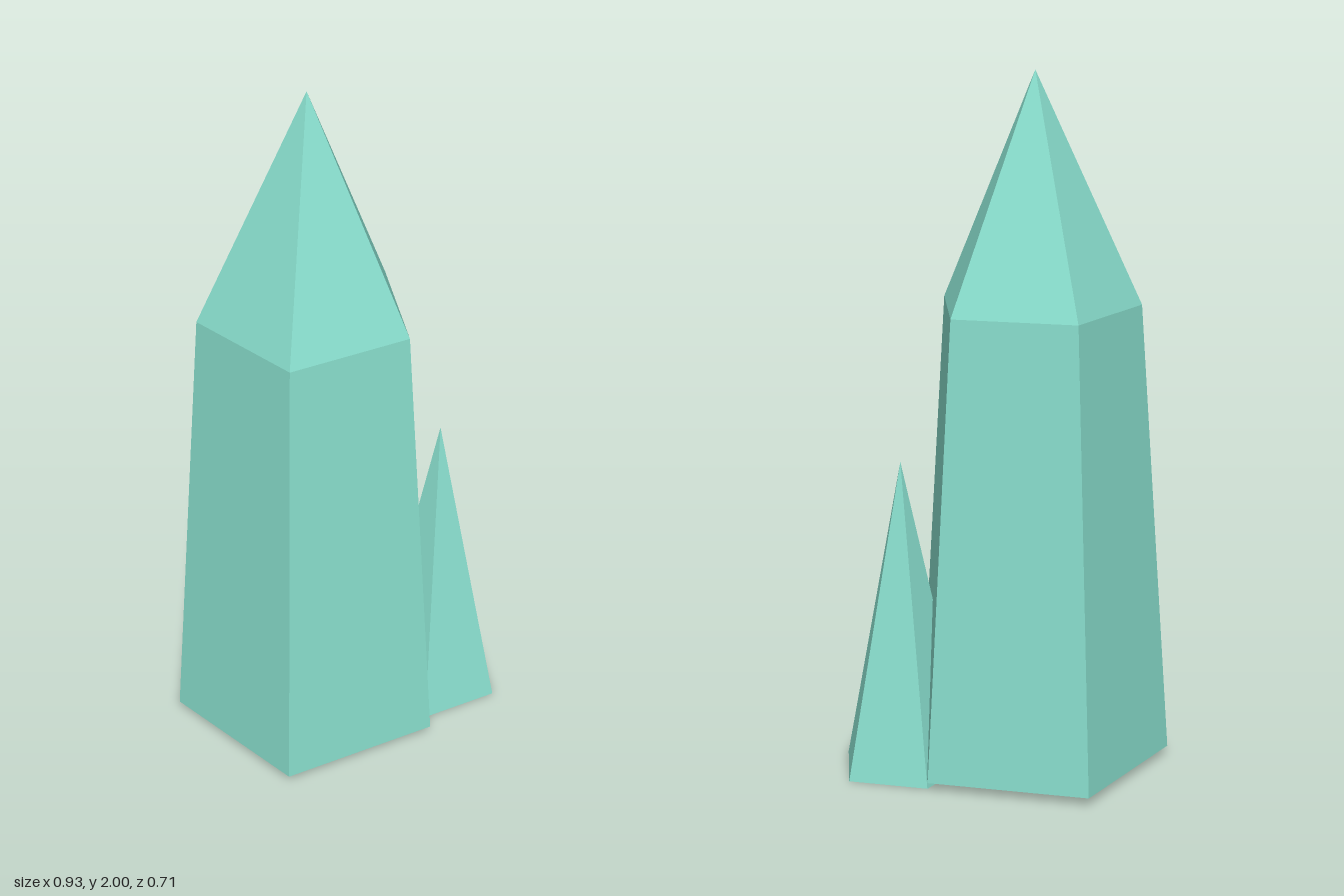
import * as THREE from 'three';

// Five-sided crystal turned from a [radius, height] profile, with one corner pointing back
function crystal(name, profile, x, z, material) {
  const points = profile.map(([r, y]) => new THREE.Vector2(r, y));
  const geometry = new THREE.LatheGeometry(points, 5, Math.PI).toNonIndexed();
  geometry.computeVertexNormals(); // flat facets
  const mesh = new THREE.Mesh(geometry, material);
  mesh.name = name;
  mesh.position.set(x, 0, z);
  return mesh;
}

export function createModel() {
  const group = new THREE.Group();
  group.name = 'crystalCluster';

  const mint = new THREE.MeshStandardMaterial({ color: 0x88ddcc });
  mint.name = 'mint crystal';

  // Tall crystal: closed base, tapering shaft, pointed tip
  group.add(crystal('tallCrystal',
    [[0, 0.025], [0.395, 0.025], [0.302, 1.345], [0, 2]], -0.092, 0.037, mint));

  // Small spike leaning into its side
  group.add(crystal('smallCrystal',
    [[0, 0], [0.197, 0], [0, 0.91]], 0.278, 0.13, mint));

  return group;
}
